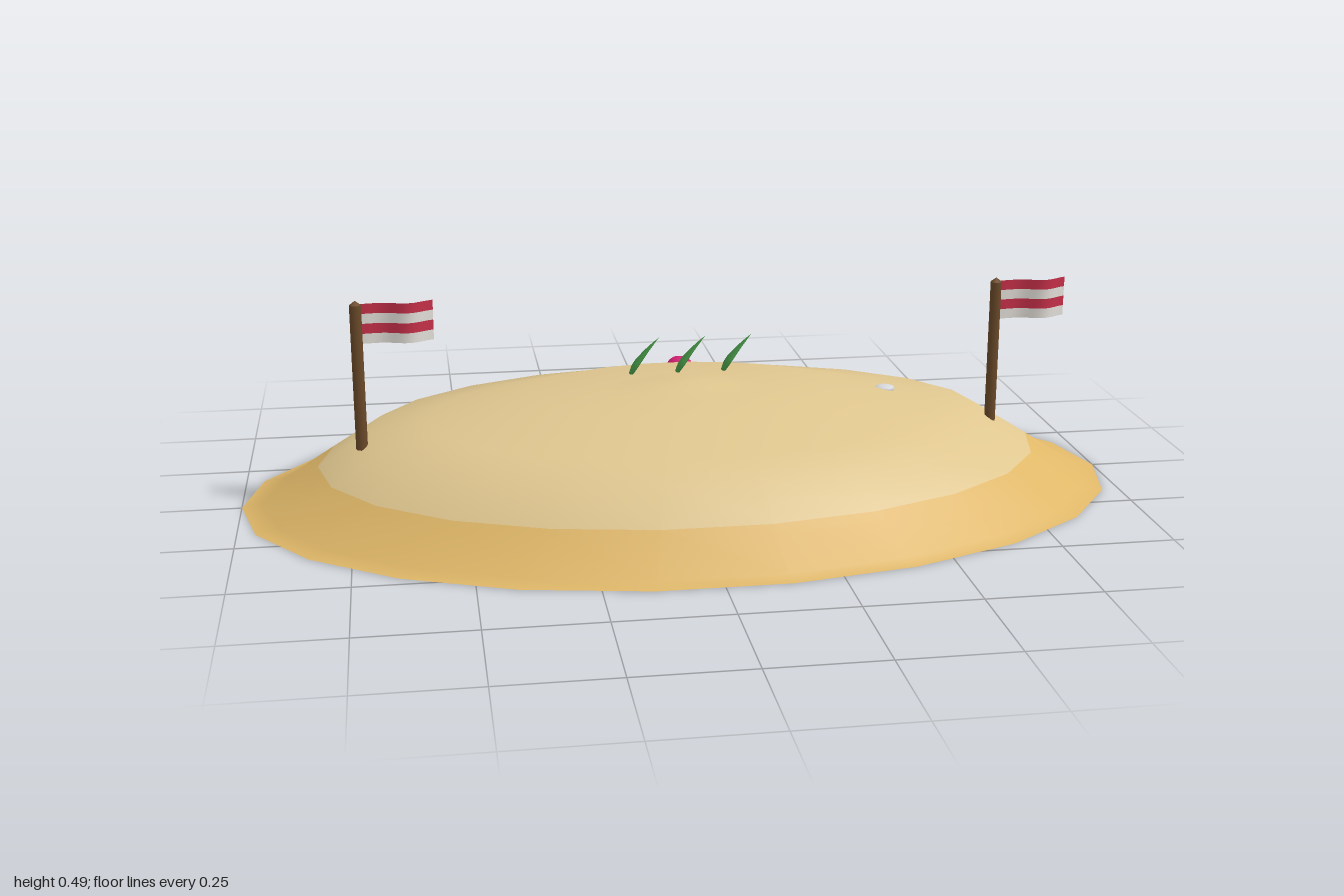
import * as THREE from 'three';

const mat = (name, color, side = THREE.FrontSide) => {
  const m = new THREE.MeshStandardMaterial({ color, side });
  m.name = name;
  return m;
};

export function createModel() {
  const wetSand = mat('wet sand', 0xdfb768);
  const drySand = mat('dry sand', 0xdfc68f);
  const wood = mat('pole wood', 0x6b4a2a);
  const red = mat('flag red', 0xc8304a, THREE.DoubleSide);
  const white = mat('flag white', 0xe6e2dc, THREE.DoubleSide);
  const green = mat('leaf green', 0x489a48);
  const pink = mat('shell pink', 0xd42074);
  const grey = mat('pebble grey', 0xd6d8dc);

  const island = new THREE.Group();
  island.name = 'island';
  const add = (parent, name, geometry, material, x = 0, y = 0, z = 0) => {
    const mesh = new THREE.Mesh(geometry, material);
    mesh.name = name;
    mesh.position.set(x, y, z);
    parent.add(mesh);
    return mesh;
  };

  // Sand mound: oval lathe, split at the waterline
  const SIDES = 22, DEPTH = 0.62;
  const mound = (profile) => new THREE.LatheGeometry(
    profile.map(([r, y]) => new THREE.Vector2(r, y)), SIDES, Math.PI / 2).scale(1, 1, DEPTH);
  add(island, 'shore', mound([[1, 0], [0.95, 0.01], [0.827, 0.09]]), wetSand);
  add(island, 'dune', mound([[0.827, 0.09], [0.71, 0.165], [0.58, 0.186], [0.36, 0.235],
    [0.18, 0.237], [0.11, 0.251], [0, 0.255]]), drySand);
  add(island, 'underside',
    new THREE.CircleGeometry(1, SIDES).rotateX(Math.PI / 2).scale(1, 1, DEPTH), wetSand);

  // Flags: pole with a waving cloth of four stripes
  const LENGTH = 0.16, STRIPE = 0.0225;
  const stripeGeometry = new THREE.PlaneGeometry(LENGTH, STRIPE, 12, 1).translate(LENGTH / 2, 0, 0);
  const p = stripeGeometry.attributes.position;
  for (let i = 0; i < p.count; i++) {
    const t = p.getX(i) / LENGTH;
    p.setZ(i, -0.016 * t * Math.sin(t * 7.6));
  }
  stripeGeometry.computeVertexNormals();
  for (const [name, x] of [['rightFlag', -0.725], ['leftFlag', 0.72]]) {
    const flag = new THREE.Group();
    flag.name = name;
    flag.position.set(x, 0, 0.055);
    add(flag, 'pole', new THREE.CylinderGeometry(0.013, 0.013, 0.33, 8), wood, 0, 0.31, 0);
    add(flag, 'poleTip', new THREE.ConeGeometry(0.013, 0.01, 8), wood, 0, 0.48, 0);
    for (let i = 0; i < 4; i++)
      add(flag, 'stripe', stripeGeometry, i % 2 ? white : red, 0.008, 0.466 - i * STRIPE, 0);
    island.add(flag);
  }

  // Leaves: flattened teardrops bent toward +x
  const HEIGHT = 0.095;
  const leaf = new THREE.LatheGeometry([[0, 0], [0.014, 0.01], [0.021, 0.026], [0.021, 0.038],
    [0.014, 0.062], [0.006, 0.083], [0, HEIGHT]].map(([r, y]) => new THREE.Vector2(r, y)), 10);
  leaf.scale(0.35, 1, 1);
  const q = leaf.attributes.position;
  for (let i = 0; i < q.count; i++)
    q.setX(i, q.getX(i) + 0.07 * Math.pow(q.getY(i) / HEIGHT, 1.4));
  leaf.computeVertexNormals();
  for (let i = 0; i < 3; i++)
    add(island, 'leaf', leaf, green, -0.1 + i * 0.11, 0.226, -0.14);

  // Small finds lying on the sand
  add(island, 'shell', new THREE.SphereGeometry(0.033, 10, 6).scale(1, 0.75, 0.9), pink,
    0.05, 0.187, -0.353);
  add(island, 'pebble', new THREE.SphereGeometry(0.025, 10, 6).scale(1, 0.35, 0.9), grey,
    0.49, 0.204, -0.037);

  return island;
}
